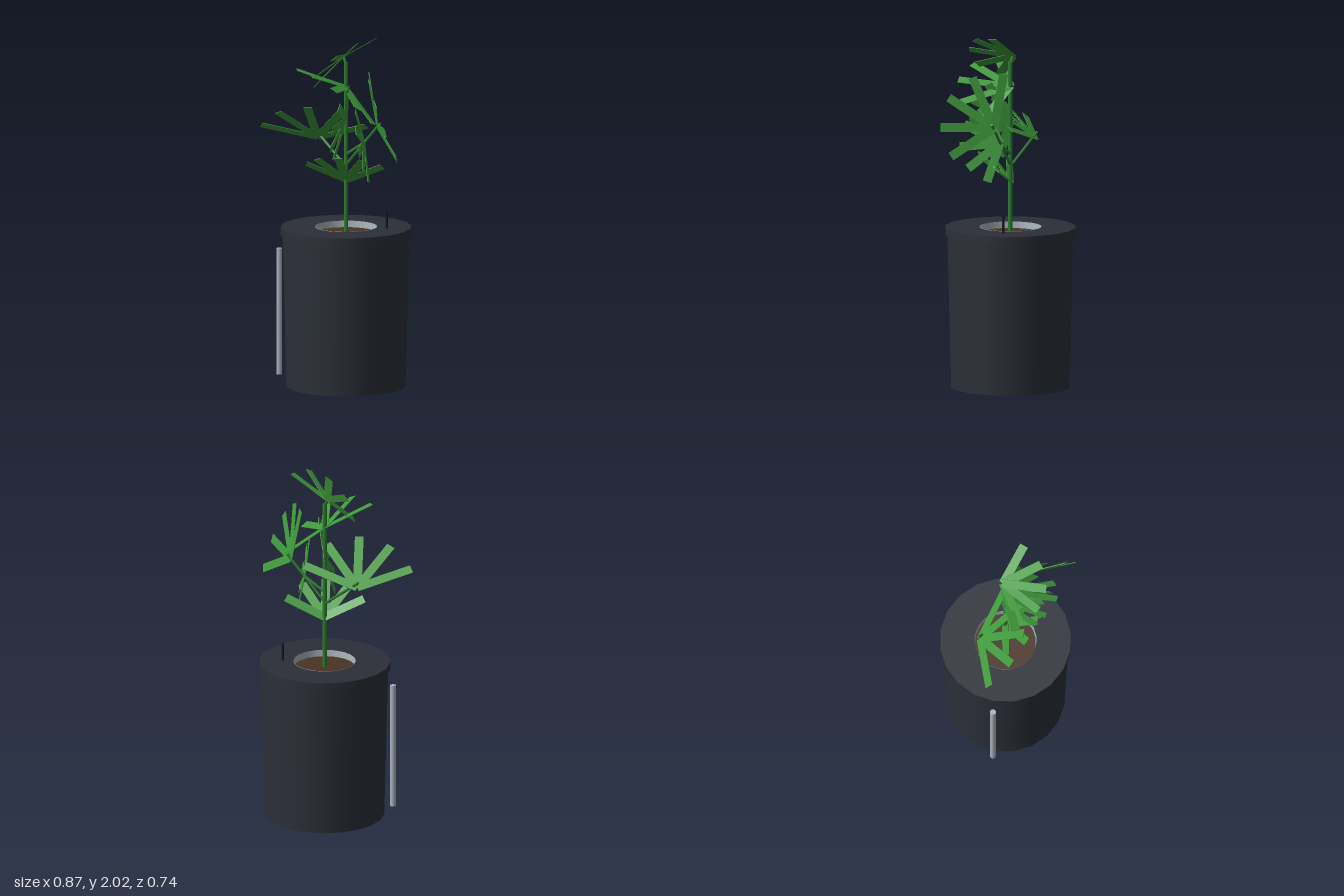
import * as THREE from 'three';

const mat = (color, side = THREE.FrontSide) => new THREE.MeshStandardMaterial({ color, side });
const V = (a) => new THREE.Vector3(...a);
const CX = 0.055; // pot and stem axis

export function createModel() {
  const model = new THREE.Group();
  const dark = mat(0x2b2f38);
  const black = mat(0x17191d);
  const grey = mat(0xa9b4bd, THREE.DoubleSide);
  const soilMat = mat(0x4a3426);
  const stemMat = mat(0x2f7d32);
  const leafMat = mat(0x3f9a3c);

  function add(name, geometry, material, x = 0, y = 0, z = 0, parent = model) {
    const mesh = new THREE.Mesh(geometry, material);
    mesh.name = name;
    mesh.position.set(x, y, z);
    parent.add(mesh);
    return mesh;
  }

  // Round rod between two points
  function rod(name, a, b, r, material, parent = model) {
    const d = b.clone().sub(a);
    const m = add(name, new THREE.CylinderGeometry(r, r, d.length(), 8), material, 0, 0, 0, parent);
    m.position.copy(a).addScaledVector(d, 0.5);
    m.quaternion.setFromUnitVectors(new THREE.Vector3(0, 1, 0), d.normalize());
    return m;
  }

  // Bucket and ring lid
  add('bucket', new THREE.CylinderGeometry(0.36, 0.338, 0.87, 20), dark, CX, 0.435, 0);
  const lid = [[0.178, 0.87], [0.372, 0.87], [0.372, 0.915], [0.178, 0.915], [0.178, 0.87]];
  // Each profile edge gets its own surface so the lid edges stay sharp
  const lidGroup = new THREE.Group();
  lidGroup.name = 'lid';
  for (let i = 0; i < 4; i++) {
    const pts = [lid[i], lid[i + 1]].map((p) => new THREE.Vector2(...p));
    add('lidFace', new THREE.LatheGeometry(pts, 20), dark, CX, 0, 0, lidGroup);
  }
  model.add(lidGroup);

  // Grow cup lining and soil
  add('cupWall', new THREE.CylinderGeometry(0.177, 0.172, 0.05, 20, 1, true), grey, CX, 0.892, 0);
  add('soil', new THREE.CylinderGeometry(0.173, 0.173, 0.012, 20), soilMat, CX, 0.874, 0);

  // Level tube on the side and small float peg in the lid
  add('levelTube', new THREE.CylinderGeometry(0.017, 0.017, 0.725, 12), grey, -0.333, 0.4125, 0);
  add('peg', new THREE.CylinderGeometry(0.007, 0.007, 0.11, 8), black, 0.292, 0.96, 0);

  // Main stem
  rod('stem', V([CX, 0.87, 0]), V([CX, 1.86, 0]), 0.0125, stemMat);

  // Fans of five flat leaflets: base point, centre direction, sideways direction,
  // leaflet length, and how far the outer leaflets bend out of the plane
  const fans = [
    { base: [0.055, 1.18, 0], mid: [0, 0.65, 0.75], side: [1, 0, 0], len: 0.245, bend: 0.3 },
    { base: [-0.135, 1.40, -0.11], mid: [0, 0.65, 0.76], side: [1, 0, -0.05], len: 0.33, bend: 0,
      from: [0.055, 1.26, 0], stalkEnd: [-0.14, 1.43, -0.12] },
    { base: [0.25, 1.51, 0.06], mid: [0.16, 0.56, 0.81], side: [0.4, -0.78, 0.48], len: 0.31, bend: 0.2,
      from: [0.055, 1.27, 0], stalkEnd: [0.27, 1.53, 0.07] },
    { base: [0.17, 1.41, 0.04], mid: [0.1, -0.1, 1], side: [0.15, -0.95, -0.1], len: 0.23, bend: 0,
      from: [0.055, 1.33, 0], stalkEnd: [0.17, 1.41, 0.04] },
    { base: [0.055, 1.53, 0], mid: [-0.1, -0.1, 1], side: [0.2, 0.9, 0.1], len: 0.24, bend: 0 },
    { base: [0.055, 1.72, 0], mid: [0, 0.1, 1], side: [0.84, -0.54, 0.05], len: 0.3, bend: -0.35 },
    { base: [0.04, 1.89, -0.01], mid: [0, 0.13, 0.99], side: [0.77, 0.63, -0.1], len: 0.25, bend: -0.28,
      from: [0.055, 1.84, 0], stalkEnd: [0.04, 1.89, -0.01] },
  ];

  for (const f of fans) {
    const fan = new THREE.Group();
    fan.name = 'leafFan';
    model.add(fan);
    const mid = V(f.mid).normalize();
    const normal = mid.clone().cross(V(f.side)).normalize();
    const side = normal.clone().cross(mid).normalize();
    if (f.from) rod('leafStalk', V(f.from), V(f.stalkEnd), 0.008, stemMat, fan);
    for (let i = -2; i <= 2; i++) {
      const a = i * 0.58;
      const dir = mid.clone().multiplyScalar(Math.cos(a)).addScaledVector(side, Math.sin(a))
        .addScaledVector(normal, f.bend * (1 - Math.cos(a))).normalize();
      const across = dir.clone().cross(normal).normalize();
      const up = across.clone().cross(dir);
      const leaf = add('leaflet', new THREE.BoxGeometry(0.05, 0.003, f.len), leafMat, 0, 0, 0, fan);
      leaf.quaternion.setFromRotationMatrix(
        new THREE.Matrix4().makeBasis(up.clone().cross(dir), up, dir));
      leaf.position.copy(V(f.base)).addScaledVector(dir, f.len / 2);
    }
  }
  return model;
}
